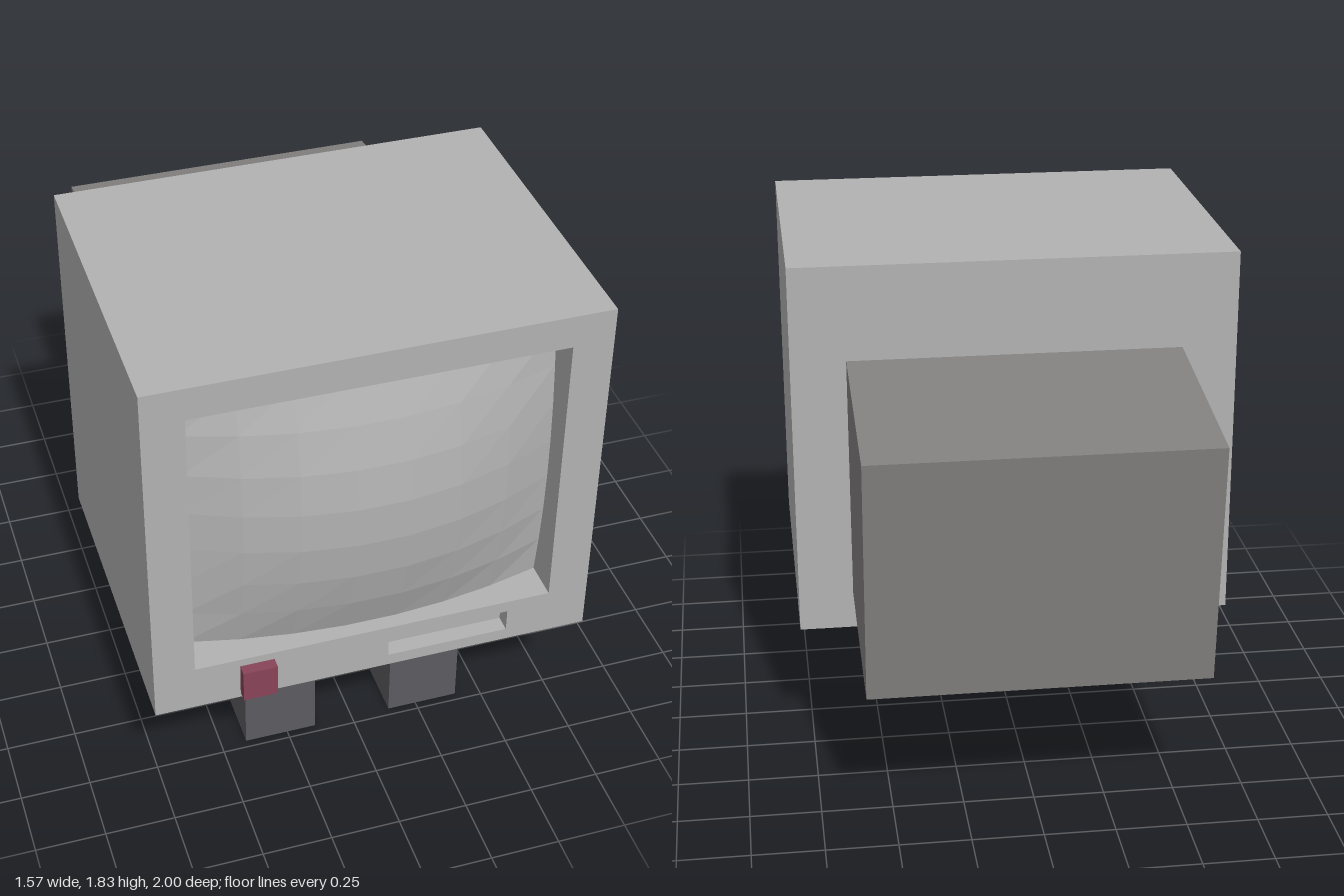
import * as THREE from 'three';

const shell = new THREE.MeshStandardMaterial({ color: 0xb2b2b2 });
const rearGrey = new THREE.MeshStandardMaterial({ color: 0x838080 });
const legGrey = new THREE.MeshStandardMaterial({ color: 0x5c5b61 });
const buttonRed = new THREE.MeshStandardMaterial({ color: 0x884459 });

function add(parent, name, geometry, material) {
  const mesh = new THREE.Mesh(geometry, material);
  mesh.name = name;
  parent.add(mesh);
  return mesh;
}

// Box given by its lower and upper limits on each axis
function box(x0, x1, y0, y1, z0, z1) {
  return new THREE.BoxGeometry(x1 - x0, y1 - y0, z1 - z0)
    .translate((x0 + x1) / 2, (y0 + y1) / 2, (z0 + z1) / 2);
}

function rectPoints(x0, x1, y0, y1) {
  return [[x0, y0], [x1, y0], [x1, y1], [x0, y1]].map(p => new THREE.Vector2(...p));
}

// Bulging faceted glass that fills the opening
function screenGeometry(w, h, cy) {
  const geo = new THREE.PlaneGeometry(w, h, 7, 7);
  const p = geo.attributes.position;
  for (let i = 0; i < p.count; i++) {
    const x = p.getX(i), y = p.getY(i);
    const fx = 1 - 1.6 * (x * x - 0.0084);
    const fy = 1 - 1.66 * (y * y - 0.0058);
    p.setXYZ(i, x, y + cy, 0.76 + 0.24 * fx * fy);
  }
  const flat = geo.toNonIndexed();
  flat.computeVertexNormals();
  return flat;
}

// Upper leg: box narrowed towards its top
function shinGeometry() {
  const geo = box(-0.132, 0.132, 0.26, 0.47, 0.24, 0.46);
  const p = geo.attributes.position;
  for (let i = 0; i < p.count; i++) {
    if (p.getY(i) < 0.4) continue;
    p.setX(i, p.getX(i) * 0.83);
    p.setZ(i, 0.35 + (p.getZ(i) - 0.35) * 0.83);
  }
  const flat = geo.toNonIndexed();
  flat.computeVertexNormals();
  return flat;
}

export function createModel() {
  const model = new THREE.Group();
  model.name = 'walkingMonitor';

  // Casing: solid rear block and a front frame with two openings
  const casing = new THREE.Group();
  casing.name = 'casing';
  model.add(casing);
  const frontZ = 0.945, frameDepth = 0.27;
  add(casing, 'casingBlock', box(-0.787, 0.787, 0.47, 1.83, -0.26, frontZ - frameDepth), shell);

  const outline = new THREE.Shape(rectPoints(-0.787, 0.787, 0.47, 1.83));
  outline.holes.push(
    new THREE.Path(rectPoints(-0.643, 0.643, 0.645, 1.71)),
    new THREE.Path(rectPoints(0.05, 0.49, 0.515, 0.6)),
  );
  const frame = new THREE.ExtrudeGeometry(outline, { depth: frameDepth, bevelEnabled: false });
  add(casing, 'frontFrame', frame.translate(0, 0, frontZ - frameDepth), shell);

  add(model, 'screen', screenGeometry(1.286, 1.065, 1.1775), shell);
  add(model, 'slotBack', box(0.05, 0.49, 0.515, 0.6, 0.876, 0.885), shell);
  add(model, 'powerButton', box(-0.485, -0.363, 0.49, 0.615, 0.92, 0.985), buttonRed);

  // Tilted rear housing, extruded from its side profile (z mapped to -x)
  const side = new THREE.Shape(
    [[0.2, 0.597], [0.92, 0.522], [1, 1.395], [0.2, 1.497]].map(p => new THREE.Vector2(...p)),
  );
  side.curves[0].v1.set(0.2, 0.612);
  const rear = new THREE.ExtrudeGeometry(side, { depth: 1.184, bevelEnabled: false });
  add(model, 'rearHousing', rear.translate(0, 0, -0.592).rotateY(Math.PI / 2), rearGrey);

  // Legs with forward-pointing feet
  for (const s of [-1, 1]) {
    const leg = new THREE.Group();
    leg.name = s < 0 ? 'rightLeg' : 'leftLeg';
    leg.position.x = s * 0.276;
    model.add(leg);
    add(leg, 'foot', box(-0.132, 0.132, 0, 0.26, 0.24, 0.72), legGrey);
    add(leg, 'shin', shinGeometry(), legGrey);
  }
  return model;
}
